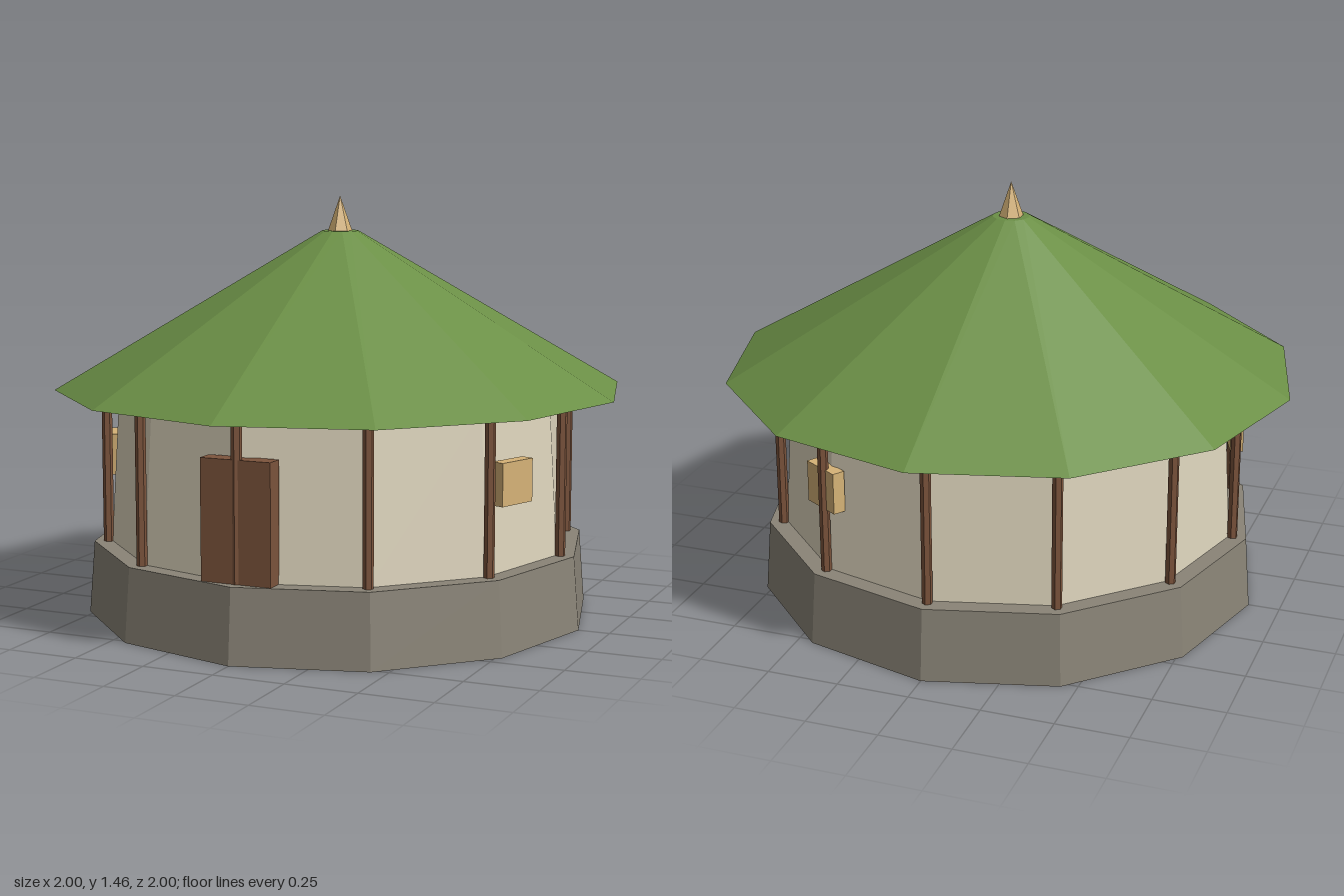
import * as THREE from 'three';

const mat = (name, color) => {
  const m = new THREE.MeshStandardMaterial({ color });
  m.name = name;
  return m;
};

export function createModel() {
  const group = new THREE.Group();
  const stone = mat('stone', 0x8a8477);
  const plaster = mat('plaster', 0xded5bd);
  const wood = mat('wood', 0x7c543c);
  const thatch = mat('green roof', 0x6b8f46);
  const straw = mat('straw', 0xd6b377);

  for (const m of [stone, plaster, wood, thatch, straw]) m.flatShading = true;

  const add = (name, geometry, material, x = 0, y = 0, z = 0, turn = 0) => {
    const mesh = new THREE.Mesh(geometry, material);
    mesh.name = name;
    mesh.position.set(x, y, z);
    mesh.rotation.y = turn;
    group.add(mesh);
    return mesh;
  };
  // Tapered prism standing between two heights
  const drum = (name, rTop, rBottom, y0, y1, sides, material) =>
    add(name, new THREE.CylinderGeometry(rTop, rBottom, y1 - y0, sides), material, 0, (y0 + y1) / 2, 0);

  // Twelve-sided body and roof
  drum('foundation', 0.87, 0.89, 0, 0.255, 12, stone);
  drum('wall', 0.775, 0.808, 0.25, 0.8, 12, plaster);
  drum('roof', 0.064, 1, 0.794, 1.342, 12, thatch);
  drum('finial', 0, 0.043, 1.34, 1.463, 6, straw);

  // Posts at the corners of the wall
  const postGeometry = new THREE.CylinderGeometry(0.018, 0.018, 0.55, 6);
  for (let i = 0; i < 12; i++) {
    const a = (i * Math.PI) / 6;
    add('post', postGeometry, wood, 0.82 * Math.sin(a), 0.525, 0.82 * Math.cos(a));
  }

  // Door at the front
  add('door', new THREE.BoxGeometry(0.25, 0.41, 0.064), wood, 0, 0.456, 0.8);

  // Shuttered windows around the wall
  const windowGeometry = new THREE.BoxGeometry(0.15, 0.145, 0.045);
  for (const a of [1.2, 2.6, -1.2]) {
    add('window', windowGeometry, straw, 0.8 * Math.sin(a), 0.555, 0.8 * Math.cos(a), a);
  }

  return group;
}
